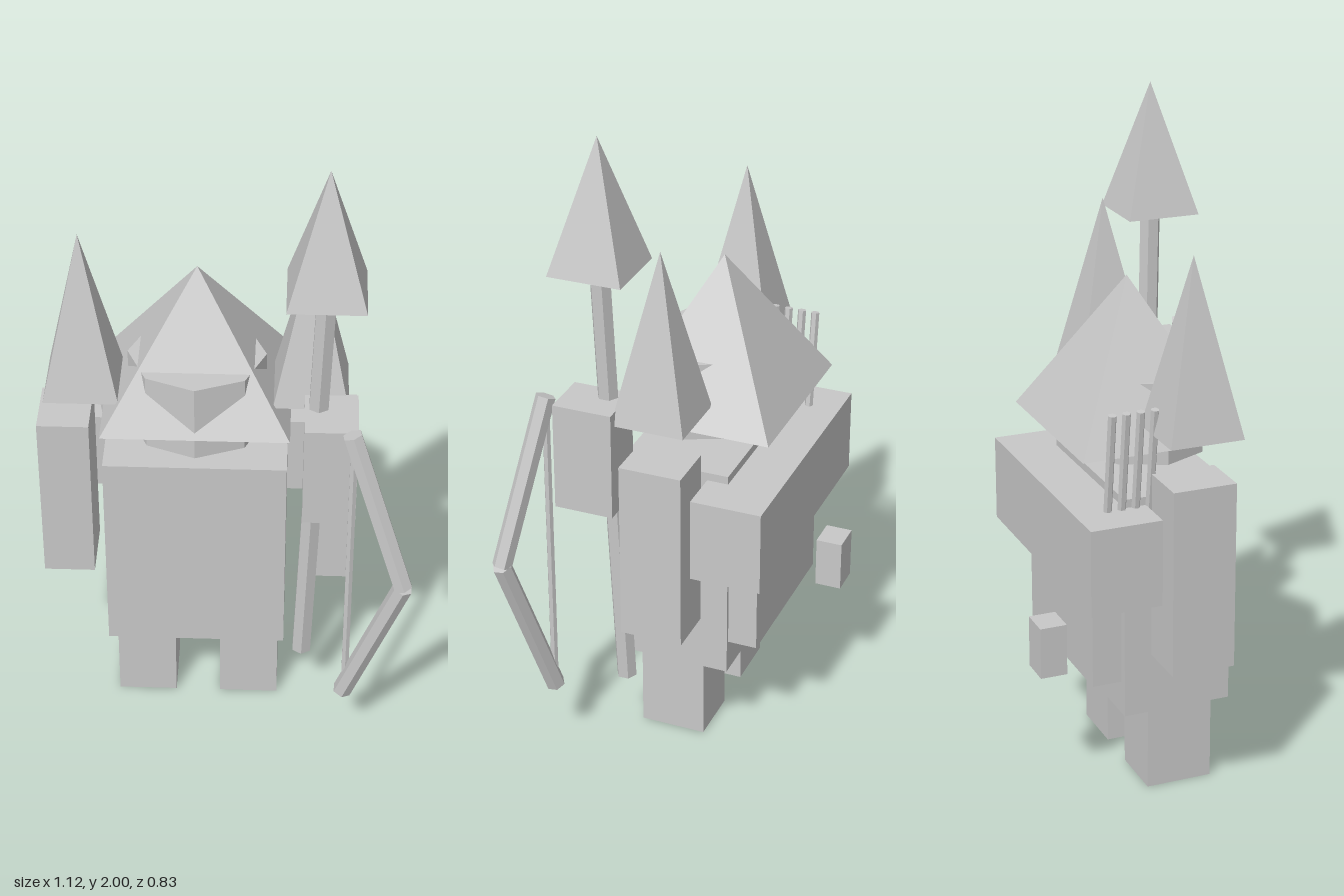
import * as THREE from 'three';

export function createModel() {
  const model = new THREE.Group();
  const stone = new THREE.MeshStandardMaterial({ color: 0xc8c8c8, flatShading: true });
  stone.name = 'plainGrey';
  const midX = -0.083; // symmetry line of the body

  const add = (name, geometry) => {
    const mesh = new THREE.Mesh(geometry, stone);
    mesh.name = name;
    model.add(mesh);
    return mesh;
  };

  // Box given by its extents on each axis
  const box = (name, [x0, x1], [y0, y1], [z0, z1]) =>
    add(name, new THREE.BoxGeometry(x1 - x0, y1 - y0, z1 - z0))
      .position.set((x0 + x1) / 2, (y0 + y1) / 2, (z0 + z1) / 2);

  // Four-sided pyramid with a width by depth base
  const pyramid = (name, x, z, width, depth, y0, y1) => {
    const g = new THREE.ConeGeometry(Math.SQRT1_2, 1, 4).rotateY(Math.PI / 4);
    g.scale(width, y1 - y0, depth);
    add(name, g).position.set(x, (y0 + y1) / 2, z);
  };

  // Six-sided rod between two points
  const rod = (name, from, to, radius) => {
    const a = new THREE.Vector3(...from), b = new THREE.Vector3(...to);
    const dir = b.clone().sub(a);
    const mesh = add(name, new THREE.CylinderGeometry(radius, radius, dir.length(), 6));
    mesh.position.copy(a).add(b).multiplyScalar(0.5);
    mesh.quaternion.setFromUnitVectors(new THREE.Vector3(0, 1, 0), dir.normalize());
  };

  // Torso, backpack and bedroll
  box('torso', [-0.36, 0.188], [0.265, 0.953], [-0.186, 0.148]);
  box('backpack', [-0.336, 0.177], [0.368, 0.7], [-0.277, -0.1]);
  box('bedroll', [-0.485, 0.321], [0.665, 0.928], [-0.338, -0.12]);
  box('pouch', [-0.285, -0.188], [0.398, 0.557], [-0.419, -0.337]);

  // Paired limbs and shoulder spikes
  for (const [side, s] of [['left', 1], ['right', -1]]) {
    const leg = midX + s * 0.161, arm = midX + s * 0.399;
    box(side + 'Leg', [leg - 0.091, leg + 0.091], [0, 0.265], [-0.102, 0.102]);
    box(side + 'Arm', [arm - 0.078, arm + 0.078], [0.474, 1.038], [-0.12, 0.072]);
    pyramid(side + 'ShoulderSpike', midX + s * 0.337, -0.004, 0.222, 0.224, 1.153, 1.67);
  }

  // Octagonal head under a pyramid hat
  add('head', new THREE.CylinderGeometry(1, 1, 0.247, 8).scale(0.205, 1, 0.19))
    .position.set(midX, 1.133, -0.019);
  pyramid('hat', midX, -0.065, 0.558, 0.493, 1.083, 1.53);

  // Arrows standing behind the right shoulder
  for (let i = 0; i < 4; i++) {
    const z = -0.11 - i * 0.043;
    rod('arrow', [-0.345, 0.78, z], [-0.402, 1.23, z], 0.013);
  }

  // Forward hand with spear
  box('spearHand', [0.236, 0.392], [0.863, 1.198], [0.095, 0.277]);
  rod('spearShaft', [0.245, 0.217, 0.122], [0.291, 1.63, 0.166], 0.032);
  pyramid('spearHead', 0.29, 0.165, 0.224, 0.224, 1.608, 2);

  // Bow with string
  const grip = [0.537, 0.715, 0.386];
  for (const [name, y] of [['upperBowLimb', 1.215], ['lowerBowLimb', 0.213]])
    rod(name, [0.373, y, 0.305], grip, 0.03);
  rod('bowString', [0.38, 0.22, 0.303], [0.38, 1.21, 0.303], 0.012);

  return model;
}
